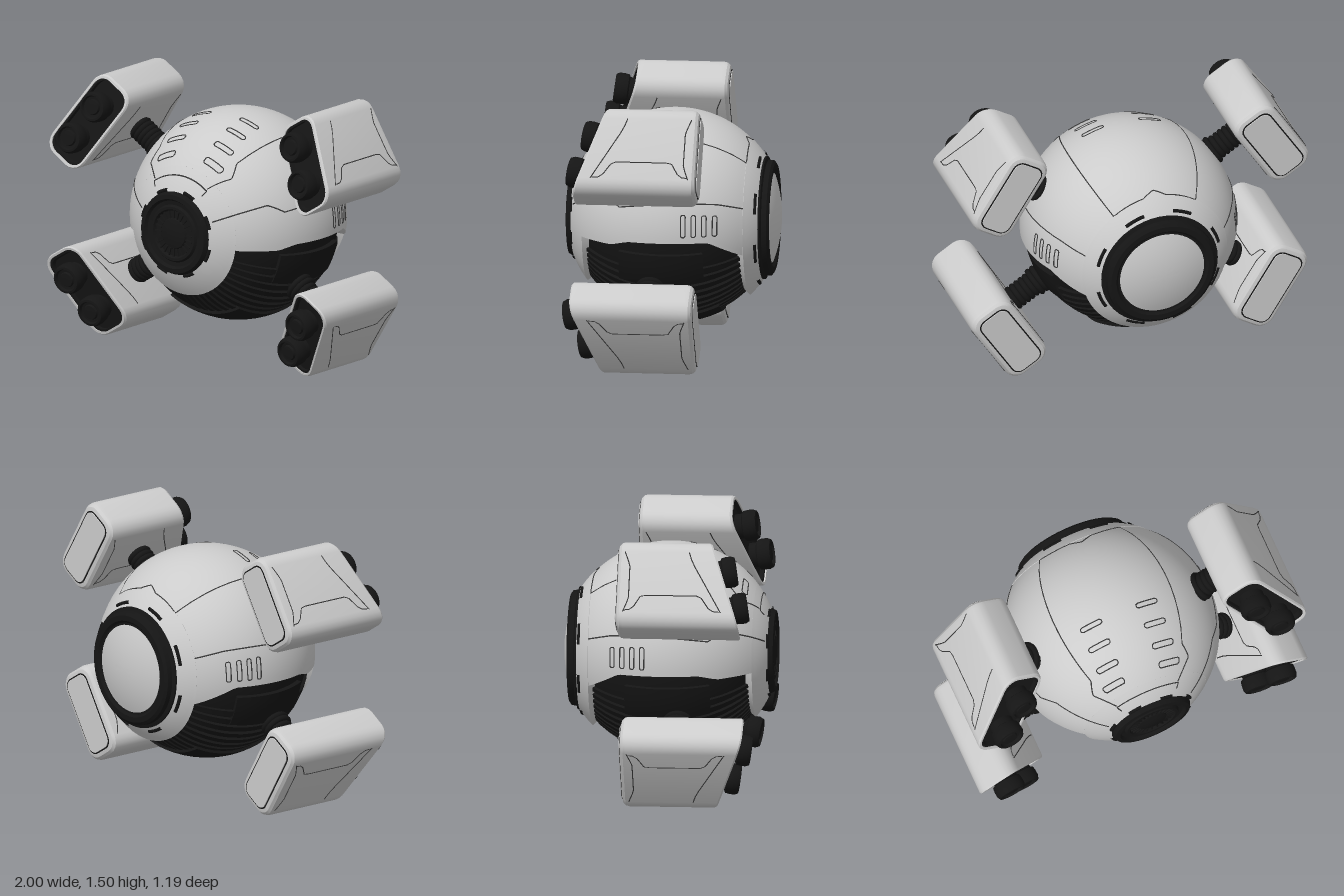
import * as THREE from 'three';
import { toCreasedNormals } from 'three/addons/utils/BufferGeometryUtils.js';

const light = new THREE.MeshStandardMaterial({ color: 0xcccccc });
const dark = new THREE.MeshStandardMaterial({ color: 0x151515 });
const seamMat = new THREE.MeshStandardMaterial({ color: 0x3c3c3c });
const R = 0.608;

function add(parent, name, geo, mat) {
  const m = new THREE.Mesh(geo, mat);
  m.name = name;
  parent.add(m);
  return m;
}

function fromTriangles(pos, idx, crease = 0.5) {
  const g = new THREE.BufferGeometry();
  g.setAttribute('position', new THREE.Float32BufferAttribute(pos, 3));
  g.setIndex(idx);
  return toCreasedNormals(g, crease);
}

// point on a sphere: a is the angle from the top around the z axis
function onSphere(a, z, r) {
  const q = Math.sqrt(Math.max(0, r * r - z * z));
  return new THREE.Vector3(q * Math.sin(a), q * Math.cos(a), z);
}

// thick spherical plate between two z values, its edges folded in to rIn
function plate(z0, z1, a0, a1, r, rIn, nz, na) {
  const pos = [], idx = [];
  const t0 = Math.asin(z0 / r), t1 = Math.asin(z1 / r);
  for (let i = -1; i <= nz + 1; i++) {
    const ic = Math.min(nz, Math.max(0, i));
    const z = r * Math.sin(t0 + (t1 - t0) * ic / nz);
    const from = a0(z), to = a1(z);
    for (let j = -1; j <= na + 1; j++) {
      const jc = Math.min(na, Math.max(0, j));
      const p = onSphere(from + (to - from) * jc / na, z, r);
      if (i !== ic || j !== jc) p.multiplyScalar(rIn / r);
      pos.push(p.x, p.y, p.z);
    }
  }
  const w = na + 3;
  for (let i = 0; i < nz + 2; i++) for (let j = 0; j < na + 2; j++) {
    const p = i * w + j;
    idx.push(p, p + w, p + 1, p + 1, p + w, p + w + 1);
  }
  return fromTriangles(pos, idx);
}

// lathe whose axis points along +z (dir 1) or -z (dir -1)
function latheZ(points, dir = 1, seg = 48) {
  const g = new THREE.LatheGeometry(points.map(p => new THREE.Vector2(p[0], p[1])), seg);
  g.rotateX(dir * Math.PI / 2);
  return toCreasedNormals(g, 0.5);
}

function tube(pts, radius, closed = false) {
  const path = new THREE.CurvePath();
  pts.forEach((p, i) => {
    if (i) path.add(new THREE.LineCurve3(pts[i - 1], p));
  });
  if (closed) path.add(new THREE.LineCurve3(pts[pts.length - 1], pts[0]));
  return new THREE.TubeGeometry(path, pts.length * 3, radius, 4, closed);
}

// panel line through [angle, z] corners, following the hull
function seam(parent, name, corners, closed = false) {
  const pts = [], n = corners.length, steps = closed ? 3 : 10;
  for (let i = 0; i < (closed ? n : n - 1); i++) {
    const p = corners[i], q = corners[(i + 1) % n];
    for (let k = 0; k < steps; k++) {
      const t = k / steps;
      pts.push(onSphere(p[0] + (q[0] - p[0]) * t, p[1] + (q[1] - p[1]) * t, R));
    }
  }
  if (!closed) pts.push(onSphere(corners[n - 1][0], corners[n - 1][1], R));
  add(parent, name, tube(pts, 0.004, closed), seamMat);
}

// rounded rectangle outline of a pod, shrunk by inset
function outline(inset) {
  const r = 0.083 - inset * 0.8, hx = 0.135 - inset - r, hy = 0.263 - inset - r, pts = [];
  for (let c = 0; c < 4; c++) for (let k = 0; k <= 5; k++) {
    const a = (c + k / 5) * Math.PI / 2;
    const sx = c === 0 || c === 3 ? 1 : -1, sy = c < 2 ? 1 : -1;
    pts.push([sx * hx + r * Math.cos(a), sy * hy + r * Math.sin(a)]);
  }
  return pts;
}

// skin over outlines given as [inset, z function], from back to front
function loft(rings, capBack, capFront) {
  const pos = [], idx = [], n = 24;
  rings.forEach(([inset, zf]) => outline(inset).forEach(([x, y]) => pos.push(x, y, zf(y))));
  for (let i = 0; i < rings.length - 1; i++) for (let j = 0; j < n; j++) {
    const a = i * n + j, b = i * n + (j + 1) % n;
    idx.push(a, b, b + n, a, b + n, a + n);
  }
  const last = (rings.length - 1) * n;
  for (let j = 1; j < n - 1; j++) {
    if (capBack) idx.push(0, j + 1, j);
    if (capFront) idx.push(last, last + j, last + j + 1);
  }
  return fromTriangles(pos, idx, 0.45);
}

// arm and thruster pod; local x points away from the body, s flips the slant
function limb(angle, s, name) {
  const g = new THREE.Group();
  g.name = name;
  g.rotation.z = angle;
  const arm = add(g, 'arm', new THREE.CylinderGeometry(0.055, 0.055, 0.27, 20), dark);
  arm.rotation.z = Math.PI / 2;
  arm.position.set(0.66, 0, 0.07);
  for (let i = 0; i < 7; i++) {
    const ring = add(g, 'armRing', new THREE.TorusGeometry(i < 2 ? 0.07 : 0.058, 0.016, 8, 24), dark);
    ring.rotation.y = Math.PI / 2;
    ring.position.set(0.59 + i * 0.03, 0, 0.07);
  }
  const pod = new THREE.Group();
  pod.name = 'pod';
  pod.position.x = 0.917;
  g.add(pod);
  const front = d => y => 0.385 + d - 0.33 * s * y, flat = z => () => z;
  add(pod, 'podShell', loft([[0.038, flat(-0.22)], [0.018, flat(-0.214)], [0.005, flat(-0.2)],
    [0, flat(-0.18)], [0, front(-0.01)], [0.006, front(0)], [0.018, front(0)], [0.018, front(-0.05)]], true, false), light);
  add(pod, 'podFace', loft([[0.018, front(-0.05)], [0.018, front(-0.008)], [0.03, front(-0.008)],
    [0.034, front(-0.03)]], false, true), dark);
  add(pod, 'backGroove', loft([[0.038, flat(-0.222)], [0.038, flat(-0.2)]], true, false), dark);
  add(pod, 'backPanel', loft([[0.046, flat(-0.226)], [0.042, flat(-0.2)]], true, false), light);
  // panel lines on both flat faces and around the back end
  for (const x of [-0.135, 0.135]) {
    const line = pts => add(pod, 'podSeam', tube(pts.map(p => new THREE.Vector3(x, p[0] * s, p[1])), 0.003), seamMat);
    line([[0.18, 0.18], [0.12, 0.2], [-0.18, 0.37]]);
    line([[-0.175, 0.36], [-0.17, 0.31], [-0.08, 0.25], [-0.08, -0.08], [-0.165, -0.13], [-0.17, -0.18]]);
    line([[0.18, -0.18], [0.1, -0.15], [-0.1, -0.15], [-0.18, -0.18]]);
  }
  // thruster barrels
  for (const u of [-0.108, 0.108]) {
    const t = add(pod, 'thruster', latheZ([[0.07, -0.02], [0.07, 0.02], [0.084, 0.028], [0.087, 0.05],
      [0.087, 0.08], [0.078, 0.1], [0.066, 0.102], [0.06, 0.085], [0.045, 0.083], [0.04, 0.095], [0, 0.098]], 1, 32), dark);
    t.position.set(0, u, front(-0.012)(u));
    t.rotation.x = -0.17 * s;
  }
  return g;
}

export function createModel() {
  const model = new THREE.Group();
  model.name = 'sphericalDrone';
  const body = new THREE.Group();
  body.name = 'body';
  body.position.y = 0.765;
  model.add(body);

  // dark core with ribs, belly plate and side plates
  add(body, 'core', new THREE.SphereGeometry(0.562, 64, 40), dark);
  const arc = a => () => a;
  for (let i = -11; i <= 11; i++) {
    const a = Math.PI + i * 0.105;
    add(body, 'coreRib', plate(-0.43, 0.46, arc(a - 0.03), arc(a + 0.03), 0.58, 0.55, 16, 1), dark);
  }
  add(body, 'bellyPlate', plate(-0.28, 0.3, arc(Math.PI - 0.5), arc(Math.PI + 0.5), 0.595, 0.55, 14, 14), dark);
  for (const a of [1.95, -1.95]) {
    add(body, 'sidePlate', plate(-0.22, 0.26, arc(a - 0.17), arc(a + 0.17), 0.588, 0.55, 14, 6), dark);
  }

  // hull: upper cover with a shaped lower edge, full rings at front and back
  const edge = [[-0.43, -0.14], [-0.4, -0.125], [-0.25, -0.045], [0.2, -0.045], [0.3, -0.07], [0.49, -0.06]];
  const half = z => {
    let i = 0;
    while (i < edge.length - 2 && z > edge[i + 1][0]) i++;
    const [p, q] = [edge[i], edge[i + 1]];
    const y = p[1] + (q[1] - p[1]) * (z - p[0]) / (q[0] - p[0]);
    return Math.acos(y / Math.sqrt(R * R - z * z));
  };
  add(body, 'upperHull', plate(-0.43, 0.482, z => -half(z), half, R, 0.555, 40, 64), light);
  add(body, 'frontCollar', plate(0.482, 0.562, arc(-Math.PI), arc(Math.PI), R, 0.555, 6, 64), light);
  add(body, 'rearCollar', plate(-0.51, -0.432, arc(-Math.PI), arc(Math.PI), R + 0.003, 0.555, 6, 64), light);

  // panel lines and vents
  for (const m of [-1, 1]) {
    seam(body, 'sideSeam', [[1.19, 0.545], [1.186, 0.47], [1.19, 0.33], [1.306, 0.25],
      [1.254, -0.3], [1.27, -0.43]].map(p => [p[0] * m, p[1]]));
    seam(body, 'topSeam', [[0.6 * m, -0.43], [0.6 * m, 0.36], [0.72 * m, 0.42], [0.6 * m, 0.51]]);
    const vent = (a, z, ha, hz, ca, cz) => seam(body, 'vent', [[-ha, -hz + cz], [-ha + ca, -hz], [ha - ca, -hz],
      [ha, -hz + cz], [ha, hz - cz], [ha - ca, hz], [-ha + ca, hz], [-ha, hz - cz]].map(p => [(a + p[0]) * m, z + p[1]]), true);
    for (const z of [0.115, 0.23, 0.34, 0.43]) {
      const q = Math.sqrt(R * R - z * z);
      vent(Math.asin(0.17 / q), z, 0.066 / q, 0.014, 0.02, 0.007);
    }
    for (let i = 0; i < 4; i++) vent(1.48, -0.115 - i * 0.057, 0.105, 0.012, 0.012, 0.006);
  }
  seam(body, 'browSeam', [[-0.62, 0.535], [-0.62, 0.515], [0.62, 0.515], [0.62, 0.535]]);
  seam(body, 'backSeam', [[-0.6, -0.43], [-0.15, -0.425], [0, -0.4], [0.15, -0.425], [0.6, -0.43]]);

  // front eye: stepped dark lens
  add(body, 'frontEye', latheZ([[0.238, 0.52], [0.238, 0.565], [0.225, 0.588], [0.2, 0.592], [0.188, 0.575],
    [0.165, 0.572], [0.155, 0.586], [0.14, 0.586], [0.13, 0.57], [0.09, 0.572], [0.084, 0.582], [0.05, 0.59], [0, 0.594]]), dark);
  for (let i = 0; i < 24; i++) {
    const a = i * Math.PI / 12;
    const fin = add(body, 'eyeFin', new THREE.BoxGeometry(0.045, 0.008, 0.012), dark);
    fin.position.set(0.11 * Math.cos(a), 0.11 * Math.sin(a), 0.575);
    fin.rotation.z = a;
  }

  // rear eye: dark stepped ring around a pale dome
  add(body, 'rearRing', latheZ([[0.345, 0.48], [0.345, 0.515], [0.325, 0.522], [0.322, 0.55], [0.305, 0.562],
    [0.275, 0.562], [0.262, 0.55], [0.24, 0.55]], -1), dark);
  const dome = [[0.25, 0.535]];
  for (let i = 0; i <= 10; i++) {
    const r = 0.25 * (1 - i / 10);
    dome.push([r, 0.597 - 0.045 * (r / 0.25) ** 2]);
  }
  add(body, 'rearDome', latheZ(dome, -1), light);

  // clasps around both eyes
  for (let i = 0; i < 8; i++) {
    const clasp = (name, r, z) => {
      const c = add(body, name, new THREE.TorusGeometry(r, 0.011, 6, 8, 0.32), dark);
      c.position.z = z;
      c.rotation.z = (i + 0.5) * Math.PI / 4 - 0.16;
    };
    clasp('frontClasp', 0.246, 0.555);
    clasp('rearClasp', 0.366, -0.488);
  }

  // four thruster limbs
  const tilt = 0.559;
  [[tilt, 1, 'upperLeftLimb'], [Math.PI - tilt, -1, 'upperRightLimb'],
    [-tilt, -1, 'lowerLeftLimb'], [Math.PI + tilt, 1, 'lowerRightLimb']].forEach(([a, s, name]) => {
    const l = limb(a, s, name);
    l.position.set(0, 0.755, name.startsWith('upper') ? -0.01 : 0.01);
    model.add(l);
  });
  return model;
}
